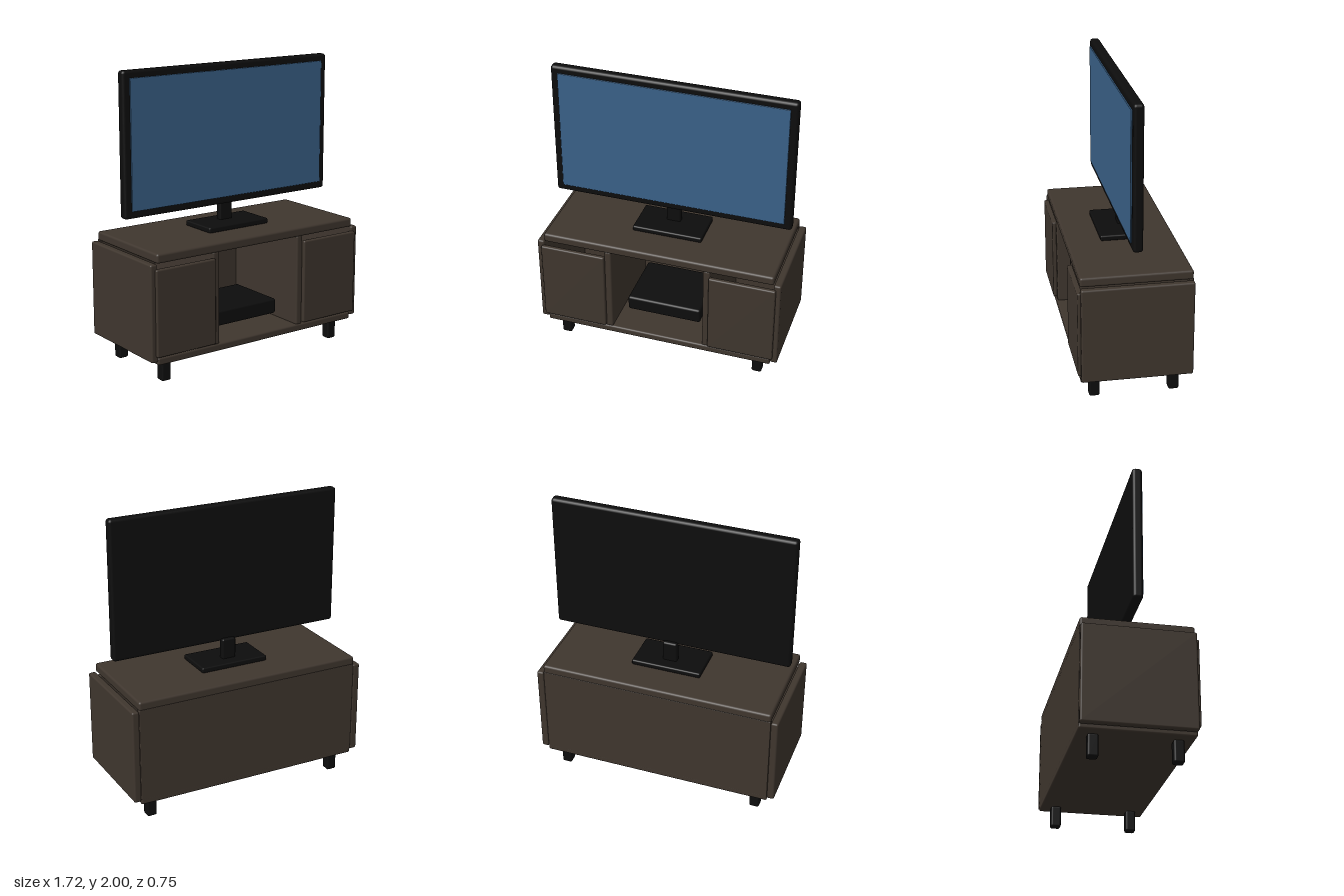
import * as THREE from 'three';
import { RoundedBoxGeometry } from 'three/addons/geometries/RoundedBoxGeometry.js';

const mat = (name, color) => {
  const m = new THREE.MeshStandardMaterial({ color });
  m.name = name;
  return m;
};

export function createModel() {
  const wood = mat('dark wood', 0x3f362e);
  const black = mat('black plastic', 0x0d0d0d);
  const glass = mat('blue screen', 0x3a6188);

  const group = new THREE.Group();
  group.name = 'televisionOnCabinet';

  // Softly rounded box given by its [min, max] range on each axis
  const box = (name, material, [x0, x1], [y0, y1], [z0, z1], r = 0.012) => {
    const mesh = new THREE.Mesh(new RoundedBoxGeometry(x1 - x0, y1 - y0, z1 - z0, 2, r), material);
    mesh.position.set((x0 + x1) / 2, (y0 + y1) / 2, (z0 + z1) / 2);
    mesh.name = name;
    group.add(mesh);
  };

  // Cabinet carcass
  const depth = [-0.375, 0.357];
  box('topPanel', wood, [-0.81, 0.81], [0.82, 0.883], depth, 0.015);
  box('bottomPanel', wood, [-0.81, 0.81], [0.145, 0.195], depth);
  box('backPanel', wood, [-0.81, 0.81], [0.18, 0.83], [-0.375, -0.345], 0.006);

  // Mirrored sides, dividers, doors and legs
  for (const s of [-1, 1]) {
    const side = s < 0 ? 'right' : 'left';
    const span = (a, b) => (s < 0 ? [-b, -a] : [a, b]);
    box(side + 'SidePanel', wood, span(0.81, 0.86), [0.17, 0.82], depth);
    box(side + 'Divider', wood, span(0.325, 0.375), [0.19, 0.825], [-0.36, 0.352]);
    box(side + 'Door', wood, span(0.37, 0.828), [0.205, 0.787], [0.342, 0.377], 0.01);
    for (const [end, z] of [['Front', 0.257], ['Back', -0.272]]) {
      box(side + end + 'Leg', black, span(0.67, 0.74), [0, 0.147], [z - 0.035, z + 0.035], 0.014);
    }
  }

  // Media box in the open bay
  box('mediaBox', black, [-0.265, 0.265], [0.25, 0.355], [-0.245, 0.2], 0.015);

  // Television
  box('standBase', black, [-0.245, 0.245], [0.883, 0.92], [-0.152, 0.13], 0.01);
  box('standNeck', black, [-0.05, 0.05], [0.91, 1.06], [-0.07, -0.02], 0.012);
  box('televisionFrame', black, [-0.835, 0.835], [1.04, 2], [-0.042, 0.025], 0.02);
  box('screen', glass, [-0.785, 0.785], [1.09, 1.953], [0.0245, 0.034], 0.002);

  return group;
}
